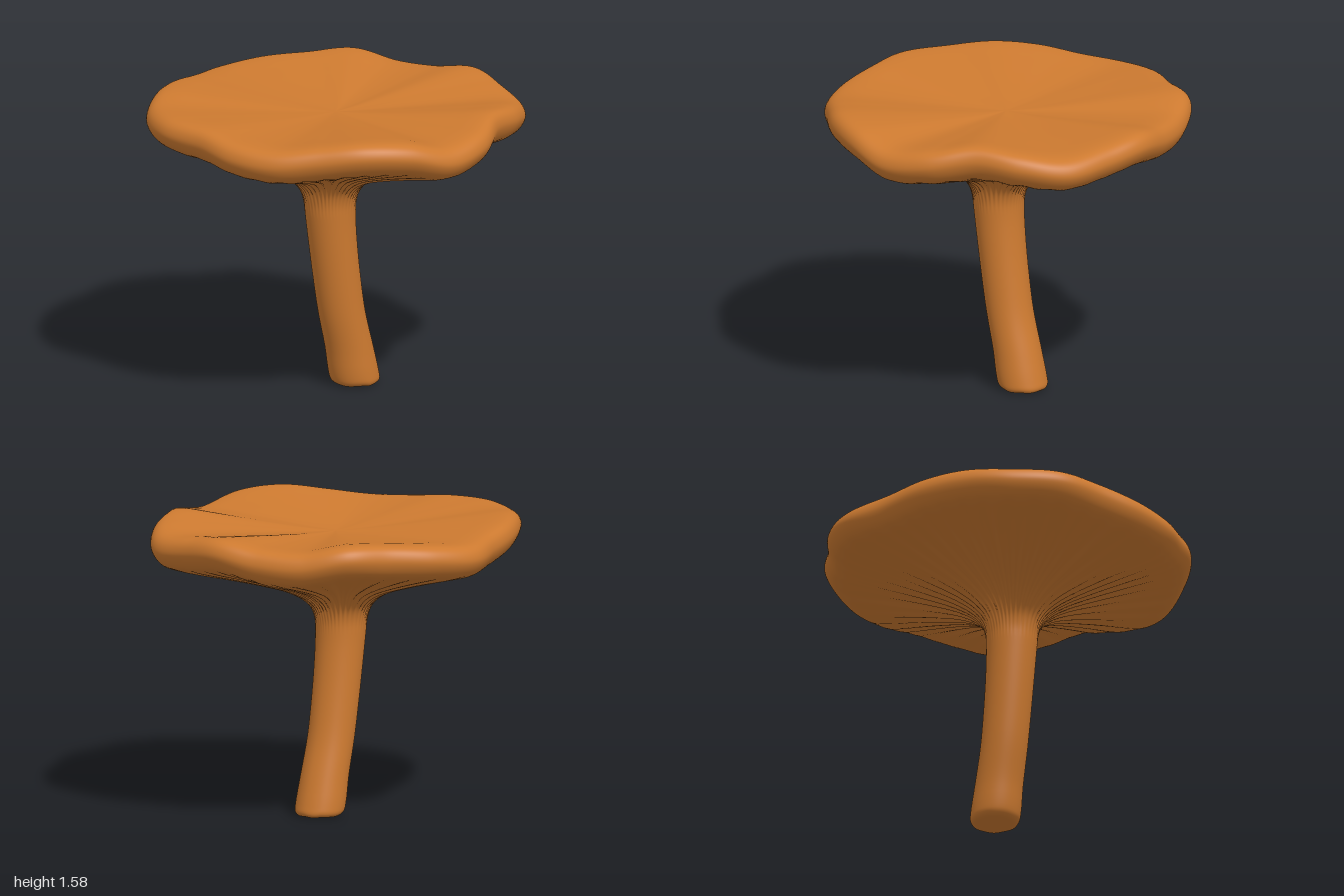
import * as THREE from 'three';

const SEGMENTS = 264, ROWS_PER_SPAN = 4, GILLS = 44;

// Rim radius and rim height wave, every 15 degrees from +x towards +z
const RIM = [.97, .97, 1, .965, .915, .968, .99, .985, .967, .94, .96, .957,
  .94, .998, 1, .965, .945, .935, .99, .97, .93, .97, .945, .935];
const WAVE = [.02, -.01, -.035, 0, .025, -.015, -.045, .015, .03, 0, -.03, -.02,
  .01, .015, .01, .03, .02, -.005, -.02, 0, .015, .025, -.025, -.02];

// Profile from the foot, up the stem, along the gills, round the rim to the centre:
// radius, height, sideways shift of the centre
const PROFILE = [
  [0, 0, .13], [.07, 0, .13], [.11, .003, .128], [.128, .02, .124], [.132, .06, .114],
  [.127, .2, .084], [.124, .4, .034], [.125, .6, 0], [.128, .8, -.027], [.133, .95, -.042],
  [.14, 1.03, -.045], [.162, 1.09, -.044], [.21, 1.14, -.04], [.3, 1.19, -.033],
  [.46, 1.245, -.022], [.65, 1.3, -.01], [.82, 1.345, 0], [.91, 1.372, 0],
  [.955, 1.395, 0], [.988, 1.435, 0], [1, 1.475, 0], [.985, 1.517, 0], [.95, 1.543, 0],
  [.88, 1.552, 0], [.7, 1.54, 0], [.4, 1.515, 0], [.15, 1.497, 0], [0, 1.492, 0],
];
const CAP_START = 10, GILL_START = 9, GILL_END = 18;

// Smooth periodic interpolation of the samples around the rim
function around(values, angle) {
  const n = values.length, u = angle / (2 * Math.PI) * n, i = Math.floor(u), t = u - i;
  const [a, b, c, d] = [-1, 0, 1, 2].map((k) => values[(i + k + n) % n]);
  return b + .5 * t * (c - a + t * (2 * a - 5 * b + 4 * c - d + t * (3 * (b - c) + d - a)));
}

// One swept skin, so that stem and cap meet without a seam
function buildSkin() {
  const curve = new THREE.CatmullRomCurve3(PROFILE.map((p) => new THREE.Vector3(...p)));
  const spans = PROFILE.length - 1, rows = spans * ROWS_PER_SPAN;
  const positions = [], index = [];
  for (let i = 0; i <= rows; i++) {
    const p = curve.getPoint(i / rows), r = Math.max(0, p.x);
    const along = (i / ROWS_PER_SPAN - GILL_START) / (GILL_END - GILL_START);
    const gillDepth = along > 0 && along < 1 ? .005 * Math.sin(Math.PI * along) : 0;
    for (let j = 0; j < SEGMENTS; j++) {
      const a = j / SEGMENTS * 2 * Math.PI;
      const gill = gillDepth * Math.cos(GILLS * a + 2 * Math.sin(3 * a));
      const radius = r * (1 + (around(RIM, a) - 1) * r * r) + gill * .5;
      const y = p.y + around(WAVE, a) * Math.pow(r, 1.3) - gill;
      positions.push(p.z + radius * Math.cos(a), y, .008 * (1 - r) * (p.y < 1.4 ? 1 : 0) + radius * Math.sin(a));
    }
  }
  for (let i = 0; i < rows; i++) {
    for (let j = 0; j < SEGMENTS; j++) {
      const k = (j + 1) % SEGMENTS;
      const a = i * SEGMENTS + j, d = i * SEGMENTS + k, b = a + SEGMENTS, c = d + SEGMENTS;
      index.push(a, b, c, a, c, d);
    }
  }
  const skin = new THREE.BufferGeometry();
  skin.setAttribute('position', new THREE.Float32BufferAttribute(positions, 3));
  skin.setIndex(index);
  skin.computeVertexNormals();
  // Straight normals at the two poles
  for (let j = 0; j < SEGMENTS; j++) {
    skin.attributes.normal.setXYZ(j, 0, -1, 0);
    skin.attributes.normal.setXYZ(rows * SEGMENTS + j, 0, 1, 0);
  }
  return skin;
}

export function createModel() {
  const orange = new THREE.MeshStandardMaterial({ color: 0xcd7a30 });
  orange.name = 'orange flesh';
  const model = new THREE.Group();
  model.name = 'mushroom';

  const skin = buildSkin();
  const all = Array.from(skin.index.array);
  const split = CAP_START * ROWS_PER_SPAN * SEGMENTS * 6;
  const addPart = (name, from, to) => {
    const part = skin.clone();
    part.setIndex(all.slice(from, to));
    const mesh = new THREE.Mesh(part, orange);
    mesh.name = name;
    model.add(mesh);
  };
  addPart('stem', 0, split);
  addPart('cap', split, all.length);
  return model;
}
